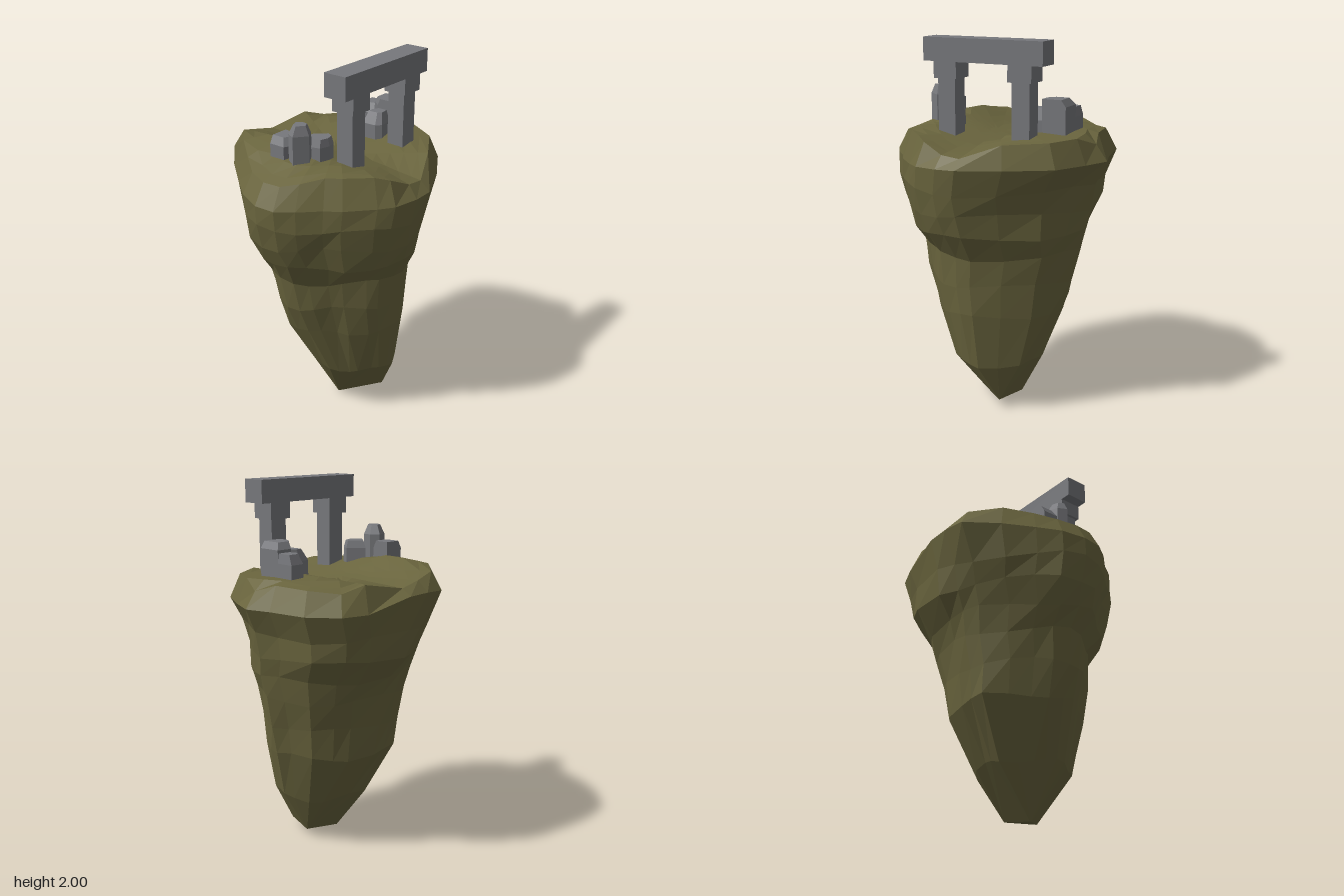
import * as THREE from 'three';

const { clamp } = THREE.MathUtils;
const earth = new THREE.MeshStandardMaterial({ color: 0x6a653e, flatShading: true });
earth.name = 'olive earth';
const stone = new THREE.MeshStandardMaterial({ color: 0x77787c, flatShading: true });
stone.name = 'grey stone';

// Closed, faceted skin over rings of [x, y, z] points, listed from bottom to top
function loft(rings) {
  const n = rings[0].length;
  const pos = [];
  const tri = (a, b, c) => pos.push(...a, ...b, ...c);
  const middle = (r) => [0, 1, 2].map((k) => r.reduce((s, p) => s + p[k], 0) / n);
  const low = middle(rings[0]);
  const high = middle(rings[rings.length - 1]);
  for (let j = 0; j < n; j++) {
    const k = (j + 1) % n;
    for (let i = 0; i < rings.length - 1; i++) {
      const [a, b, c, d] = [rings[i][j], rings[i][k], rings[i + 1][j], rings[i + 1][k]];
      tri(a, c, b);
      tri(b, c, d);
    }
    tri(low, rings[0][j], rings[0][k]);
    tri(high, rings[rings.length - 1][k], rings[rings.length - 1][j]);
  }
  const g = new THREE.BufferGeometry();
  g.setAttribute('position', new THREE.Float32BufferAttribute(pos, 3));
  g.computeVertexNormals();
  return g;
}

function add(parent, name, geometry, material) {
  const mesh = new THREE.Mesh(geometry, material);
  mesh.name = name;
  parent.add(mesh);
  return mesh;
}

// Widest outline of the island in x, z
const outline = [
  [0.558, 0.08], [0.525, 0.21], [0.47, 0.28], [0.35, 0.4], [0.27, 0.45], [0.17, 0.54],
  [0.08, 0.6], [-0.03, 0.61], [-0.15, 0.57], [-0.26, 0.49], [-0.4, 0.38], [-0.545, 0.23],
  [-0.56, 0.1], [-0.56, -0.03], [-0.52, -0.29], [-0.47, -0.42], [-0.33, -0.535],
  [-0.12, -0.57], [0.01, -0.61], [0.15, -0.55], [0.32, -0.46], [0.46, -0.24], [0.558, -0.03],
];

// Ground height: two banks with a shallow valley that bends and deepens to the left
const slope = [[-0.62, 1.4], [-0.5, 1.525], [-0.27, 1.535], [-0.06, 1.48], [0.26, 1.55],
  [0.4, 1.535], [0.55, 1.475], [0.62, 1.42]];
function ground(x, z) {
  const bent = z - 0.2 * Math.max(0, x - 0.1) * Math.max(0, 1 - Math.abs(z) / 0.4);
  let i = 0;
  while (i < slope.length - 2 && bent > slope[i + 1][0]) i++;
  const [[z0, y0], [z1, y1]] = [slope[i], slope[i + 1]];
  const y = y0 + ((y1 - y0) * (bent - z0)) / (z1 - z0);
  const knoll = 0.045 * Math.max(0, 1 - Math.abs(x + 0.2) / 0.35) * Math.max(0, 1 - Math.abs(z - 0.26) / 0.2);
  const dip = 0.15 * Math.max(0, x - 0.3) * Math.max(0, 1 - Math.abs(z) / 0.2);
  const fall = 0.2 * Math.max(0, -x - 0.2) * clamp((-z - 0.25) / 0.15, 0, 1);
  return y + knoll - dip - fall - 0.05 * Math.max(0, x);
}

// Three corners at the foot of the island: front, left and back
const foot = { front: [0.05, 0.005, 0.06], left: [0.23, 0.05, -0.11], back: [0.06, 0.045, -0.16] };

// Hollows in the flanks: outline index, reach, depth at each level
const hollows = [
  [11, 2.5, [0, 0, 0.05, 0.07, 0.1, 0.18, 0.12, 0]],
  [15, 2.5, [0.1, 0.08, 0.08, 0.09, 0.08, 0, 0, 0]],
  [20, 2.5, [0, 0.02, 0.02, 0.03, 0.06, 0.06, 0.03, 0]],
];

function island() {
  // Keel: the outline gathers at the three foot corners
  const rings = [outline.map(([x, z], j) => {
    const [fx, fy, fz] = j < 2 || j > 19 ? foot.left : j < 13 ? foot.front : foot.back;
    return [fx + x * 0.008, fy, fz + z * 0.008];
  })];
  // Flanks: y, min x, max x, min z, max z
  const levels = [
    [0.28, -0.17, 0.35, -0.3, 0.24], [0.57, -0.33, 0.395, -0.4, 0.37],
    [0.74, -0.36, 0.405, -0.435, 0.43], [0.9, -0.4, 0.415, -0.48, 0.46],
    [1.02, -0.445, 0.49, -0.515, 0.525], [1.14, -0.525, 0.52, -0.535, 0.575],
    [1.26, -0.54, 0.545, -0.55, 0.605], [1.39, -0.56, 0.558, -0.61, 0.61],
  ];
  levels.forEach(([y, x0, x1, z0, z1], i) => {
    const rim = i === levels.length - 1;
    rings.push(outline.map(([px, pz], j) => {
      const u = px / 0.56;
      const v = pz / 0.61;
      const hollow = hollows.reduce((s, [at, reach, depth]) =>
        s + depth[i] * Math.max(0, 1 - Math.abs(j - at) / reach), 0);
      const size = 1 - hollow + (rim ? 0 : 0.008 * Math.sin(j * 2.3 + i * 1.7));
      const lift = rim
        ? 0.07 * Math.max(0, -u) * clamp(1 + v * 2, 0, 1) - 0.025 * Math.max(0, v)
        : 0.015 * Math.sin(j * 1.1 + i * 2);
      return [(x0 + x1) / 2 + (u * (x1 - x0) * size) / 2, y + lift, (z0 + z1) / 2 + (v * (z1 - z0) * size) / 2];
    }));
  });
  // Rim and top surface
  for (const s of [0.9, 0.8, 0.66, 0.52, 0.38, 0.24, 0.1]) {
    rings.push(outline.map(([x, z]) => [x * s, ground(x * s, z * s), z * s]));
  }
  return loft(rings);
}

// Upright rock on a plan of x, z corners; its top shrinks towards the point (tx, tz)
function rock(plan, shoulder, top, shrink, tx, tz) {
  const ring = (y, s) => plan.map(([x, z]) => [tx + (x - tx) * s, y, tz + (z - tz) * s]);
  return loft([ring(1.47, 1), ring(shoulder, 1), ring(top, shrink)]);
}

export function createModel() {
  const model = new THREE.Group();
  model.name = 'floatingIsland';
  add(model, 'island', island(), earth);

  // Stone arch
  const arch = new THREE.Group();
  arch.name = 'stoneArch';
  model.add(arch);
  const block = (name, w, h, d, y, z) =>
    add(arch, name, new THREE.BoxGeometry(w, h, d), stone).position.set(0.217, y, z);
  block('lintel', 0.13, 0.12, 0.67, 1.94, -0.035);
  for (const z of [0.175, -0.245]) {
    block('capital', 0.13, 0.085, 0.13, 1.8375, z);
    block('pillar', 0.098, 0.36, 0.098, 1.62, z);
  }

  // Rock clusters: plan corners, shoulder and top heights, top shrink and its centre
  const rocks = [
    ['backBlock', [[-0.02, -0.42], [0.11, -0.42], [0.11, -0.29], [0.03, -0.29], [-0.02, -0.33]], 1.665, 1.7, 0.8, 0.11, -0.29],
    ['backSideRock', [[-0.12, -0.42], [-0.01, -0.42], [-0.01, -0.32], [-0.07, -0.305], [-0.12, -0.34]], 1.6, 1.65, 0.7, -0.05, -0.4],
    ['backSmallRock', [[0.005, -0.24], [0.03, -0.29], [0.11, -0.29], [0.118, -0.215], [0.09, -0.19], [0.01, -0.185]], 1.59, 1.65, 0.65, 0.06, -0.28],
    ['frontSideRock', [[-0.12, 0.28], [-0.02, 0.28], [0, 0.33], [-0.03, 0.395], [-0.12, 0.395]], 1.61, 1.65, 0.8, -0.12, 0.28],
    ['frontTallRock', [[-0.03, 0.32], [0.01, 0.285], [0.06, 0.29], [0.09, 0.34], [0.04, 0.405], [-0.01, 0.38]], 1.68, 1.73, 0.6, 0.04, 0.345],
    ['frontSmallRock', [[0.005, 0.245], [0.08, 0.17], [0.12, 0.19], [0.135, 0.24], [0.12, 0.295], [0.075, 0.305]], 1.61, 1.65, 0.8, 0.09, 0.24],
  ];
  for (const [name, ...shape] of rocks) add(model, name, rock(...shape), stone);
  return model;
}
